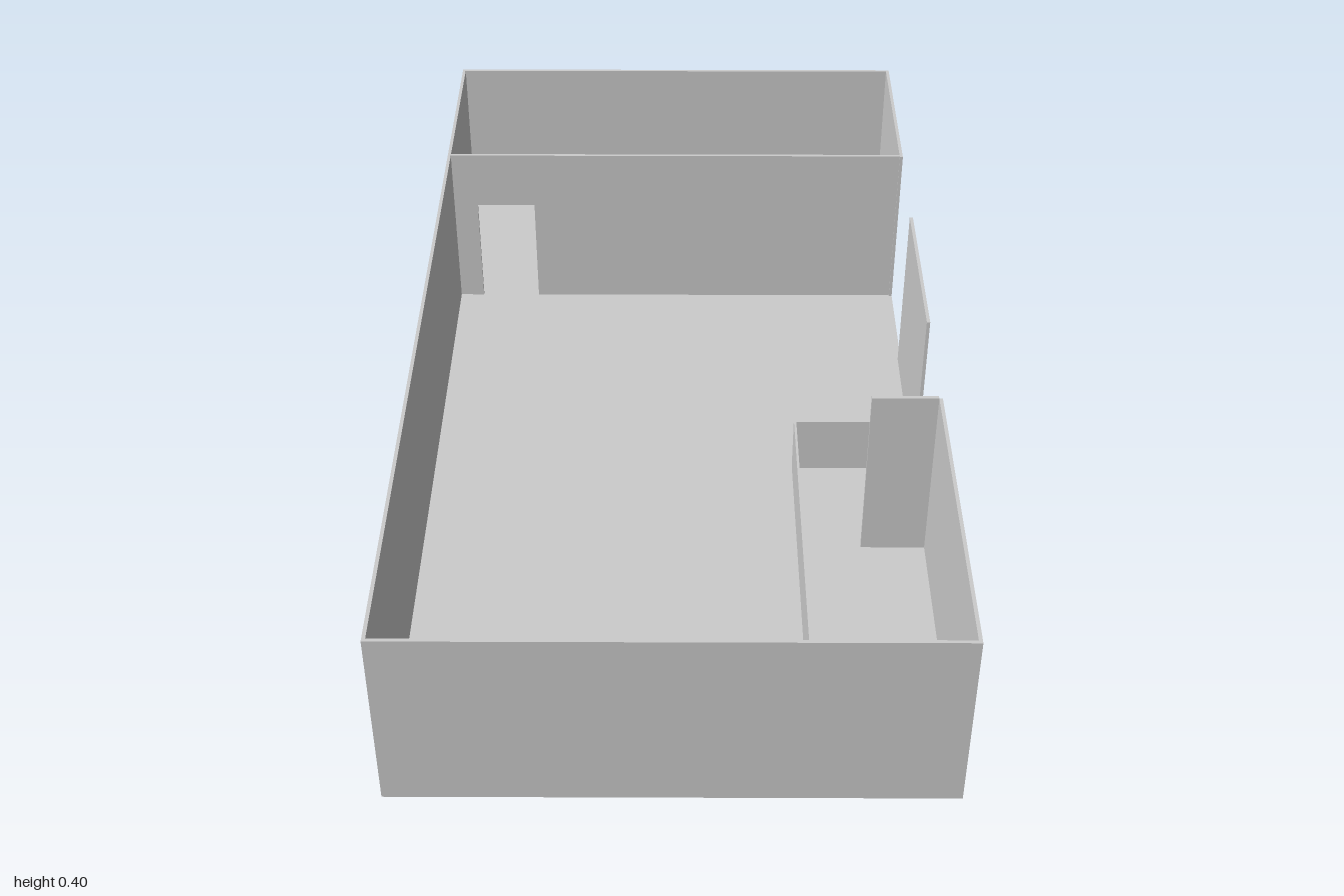
import * as THREE from 'three';

const material = new THREE.MeshStandardMaterial({ color: 0xcccccc, flatShading: true });
const X = 0.532, Z = 1, H = 0.4, T = 0.007, FLOOR = 0.003;

// Box given by its limits on each axis
function block(name, [x0, x1], [y0, y1], [z0, z1]) {
  const mesh = new THREE.Mesh(new THREE.BoxGeometry(x1 - x0, y1 - y0, z1 - z0), material);
  mesh.name = name;
  mesh.position.set((x0 + x1) / 2, (y0 + y1) / 2, (z0 + z1) / 2);
  return mesh;
}

// Cross wall with a doorway cut up from the floor
function partition() {
  const door = { x0: -0.47, x1: -0.335, top: 0.265 };
  const outline = [
    [-X + T, FLOOR], [door.x0, FLOOR], [door.x0, door.top], [door.x1, door.top],
    [door.x1, FLOOR], [X - T, FLOOR], [X - T, H], [-X + T, H],
  ].map(([x, y]) => new THREE.Vector2(x, y));
  const geometry = new THREE.ExtrudeGeometry(new THREE.Shape(outline), { depth: T, bevelEnabled: false });
  const mesh = new THREE.Mesh(geometry, material);
  mesh.name = 'partitionWall';
  mesh.position.z = -0.595;
  return mesh;
}

export function createModel() {
  const model = new THREE.Group();
  model.name = 'roomShell';

  // Floor and the unbroken outer walls
  model.add(block('floor', [-X, X], [0, FLOOR], [-Z, Z]));
  model.add(block('frontWall', [-X, X], [FLOOR, H], [Z - T, Z]));
  model.add(block('backWall', [-X, X], [FLOOR, H], [-Z, -Z + T]));
  model.add(block('rightWall', [-X, -X + T], [FLOOR, H], [-Z + T, Z - T]));

  // Left wall, broken by two full-height openings
  const leftWall = new THREE.Group();
  leftWall.name = 'leftWall';
  [[0.325, Z - T], [-0.328, 0.07], [-Z + T, -0.585]].forEach((span, i) =>
    leftWall.add(block(`leftWallSection${i + 1}`, [X - T, X], [FLOOR, H], span)));
  model.add(leftWall);

  // Inner walls
  model.add(partition());
  model.add(block('stubWall', [0.392, X - T], [FLOOR, H], [0.318, 0.326]));

  // Low L-shaped divider
  const divider = new THREE.Group();
  divider.name = 'lowDivider';
  divider.add(block('dividerLong', [0.259, 0.264], [FLOOR, 0.133], [0.07, 0.855]));
  divider.add(block('dividerShort', [0.259, X - T], [FLOOR, 0.133], [0.063, 0.07]));
  model.add(divider);

  return model;
}
